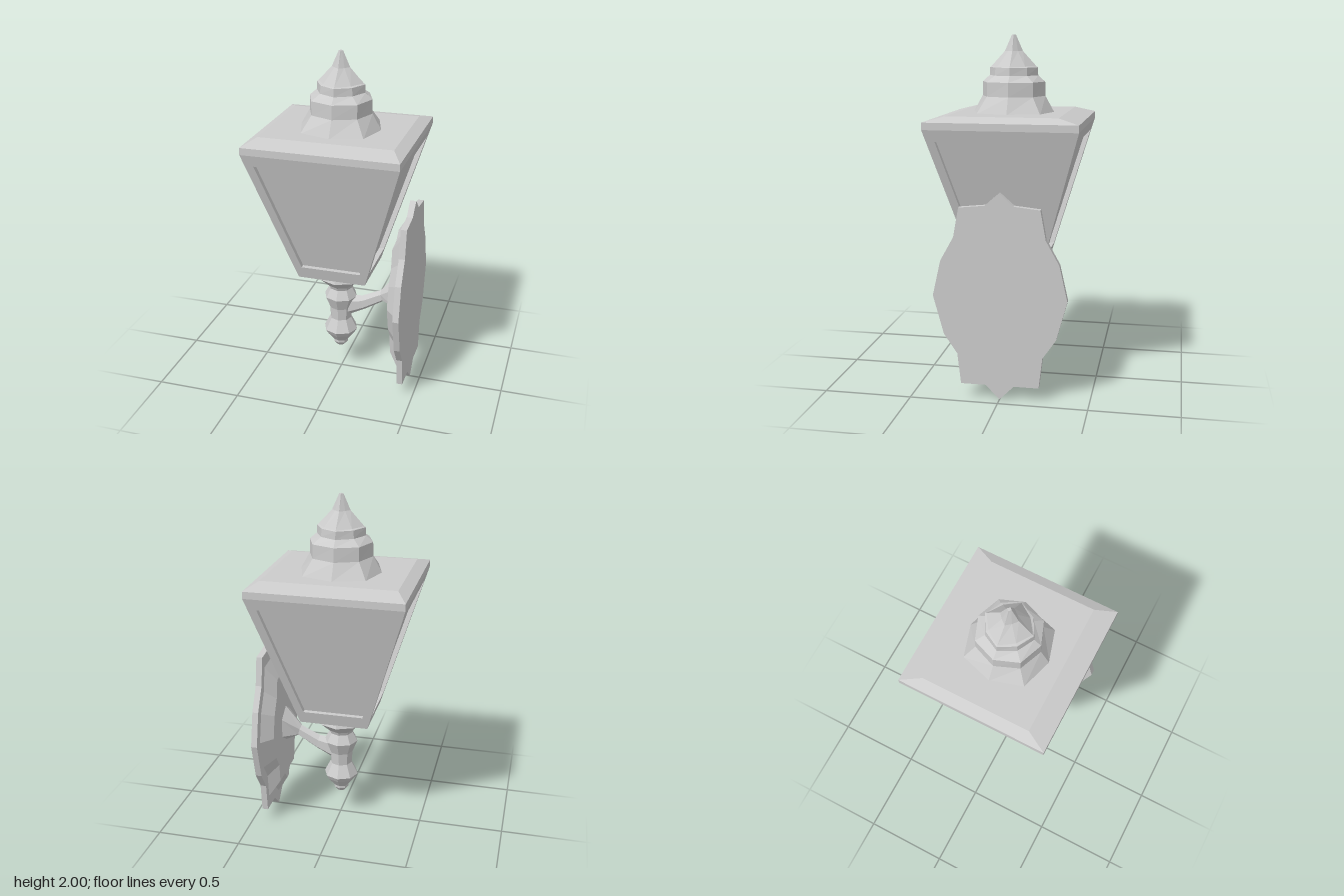
import * as THREE from 'three';

const material = new THREE.MeshStandardMaterial({ color: 0xcccccc, flatShading: true });

// Skin a list of rings (counterclockwise seen from the end side), with optional fan caps
function loft(name, rings, capStart = true, capEnd = true) {
  const out = [];
  const tri = (a, b, c) => out.push(...a, ...b, ...c);
  const n = rings[0].length;
  for (let r = 0; r < rings.length - 1; r++) {
    const A = rings[r], B = rings[r + 1];
    for (let i = 0; i < n; i++) {
      const j = (i + 1) % n;
      tri(A[i], A[j], B[j]);
      tri(A[i], B[j], B[i]);
    }
  }
  const cap = (ring, flip) => {
    const c = [0, 1, 2].map(k => ring.reduce((s, p) => s + p[k], 0) / n);
    ring.forEach((p, i) => {
      const q = ring[(i + 1) % n];
      flip ? tri(c, q, p) : tri(c, p, q);
    });
  };
  if (capStart) cap(rings[0], true);
  if (capEnd) cap(rings[rings.length - 1], false);
  const g = new THREE.BufferGeometry();
  g.setAttribute('position', new THREE.Float32BufferAttribute(out, 3));
  g.computeVertexNormals();
  const mesh = new THREE.Mesh(g, material);
  mesh.name = name;
  return mesh;
}

// Eight-sided ring: radius on the axes and radius on the diagonals
const octagon = ([y, axis, diag = axis]) => Array.from({ length: 8 }, (_, i) => {
  const a = i * Math.PI / 4, r = i % 2 ? diag : axis;
  return [r * Math.cos(a), y, -r * Math.sin(a)];
});
const rectangle = (y, hx, hz = hx) => [[-hx, y, hz], [hx, y, hz], [hx, y, -hz], [-hx, y, -hz]];

function createLantern() {
  const g = new THREE.Group();
  g.name = 'lantern';
  const yB = 0.69, yT = 1.5, hB = 0.2, hT = 0.44;
  const half = y => hB + (hT - hB) * (y - yB) / (yT - yB);
  // A trapezoid lying on the sloping front wall
  const trapezoid = (y0, w0, y1, w1, inset) => [
    [-w0, y0, half(y0) - inset], [w0, y0, half(y0) - inset],
    [w1, y1, half(y1) - inset], [-w1, y1, half(y1) - inset]];

  // Four framed walls with recessed panes
  for (let k = 0; k < 4; k++) {
    const wall = loft('lanternWall', [
      trapezoid(yB, hB, yT, hT, 0),
      trapezoid(0.765, 0.175, 1.435, 0.37, 0),
      trapezoid(0.765, 0.175, 1.435, 0.37, 0.03)], false, true);
    wall.rotation.y = k * Math.PI / 2;
    g.add(wall);
  }
  g.add(loft('lanternFloor', [rectangle(yB, hB), rectangle(yB + 0.002, hB)], true, false));
  // Flat roof with bevelled rim
  g.add(loft('roof', [rectangle(yT, hT), rectangle(1.54, hT), rectangle(1.57, 0.38, 0.32)]));
  g.scale.z = 0.965;
  return g;
}

export function createModel() {
  const model = new THREE.Group();
  model.name = 'wallLantern';

  const lamp = new THREE.Group();
  lamp.name = 'lamp';
  lamp.position.x = -0.004;
  lamp.add(createLantern());

  // Stepped crown ending in a four-sided spike
  lamp.add(loft('finial', [
    [1.565, 0.235, 0.255], [1.66, 0.182, 0.184], [1.74, 0.18, 0.184],
    [1.775, 0.14, 0.13], [1.82, 0.138, 0.126], [1.825, 0.13, 0.11],
    [1.91, 0.052, 0.04], [2.0, 0.012, 0.0085]].map(octagon)));

  // Turned stem below the lantern
  lamp.add(loft('stem', [
    [0.16, 0.025], [0.185, 0.045], [0.2, 0.045], [0.25, 0.085], [0.28, 0.103],
    [0.355, 0.065], [0.43, 0.07], [0.505, 0.1], [0.56, 0.07], [0.58, 0.078],
    [0.635, 0.137], [0.66, 0.127], [0.692, 0.155]].map(p => octagon(p))));
  model.add(lamp);

  // Curved arm flaring into the wall plate: [top x, top y, bottom x, bottom y, half width]
  const arm = [
    [0.03, 0.51, 0.03, 0.365, 0.045], [0.13, 0.515, 0.145, 0.425, 0.035],
    [0.245, 0.57, 0.265, 0.5, 0.035], [0.345, 0.69, 0.345, 0.46, 0.1]];
  model.add(loft('arm', arm.map(([tx, ty, bx, by, w]) =>
    Array.from({ length: 6 }, (_, i) => {
      const a = i * Math.PI / 3 + Math.PI / 6, s = Math.sin(a) / 2;
      return [(tx + bx) / 2 + (tx - bx) * s, (ty + by) / 2 + (ty - by) * s, -w * Math.cos(a)];
    }))));

  // Scalloped wall plate with a bevelled raised face
  const side = [[0.08, 1.1], [0.225, 1.085], [0.255, 0.92], [0.33, 0.785], [0.375, 0.585],
    [0.315, 0.365], [0.24, 0.255], [0.22, 0.08], [0.08, 0.08]];
  const outline = [[0, 1.17], ...side.map(([z, y]) => [-z, y]), [0, 0], ...side.slice().reverse()];
  const plateRing = (x, s) => outline.map(([z, y]) => [x, 0.59 + (y - 0.59) * s, z * s]);
  model.add(loft('wallPlate', [
    plateRing(0.44, 1), plateRing(0.405, 1), plateRing(0.405, 0.85), plateRing(0.343, 0.67)]));

  return model;
}
